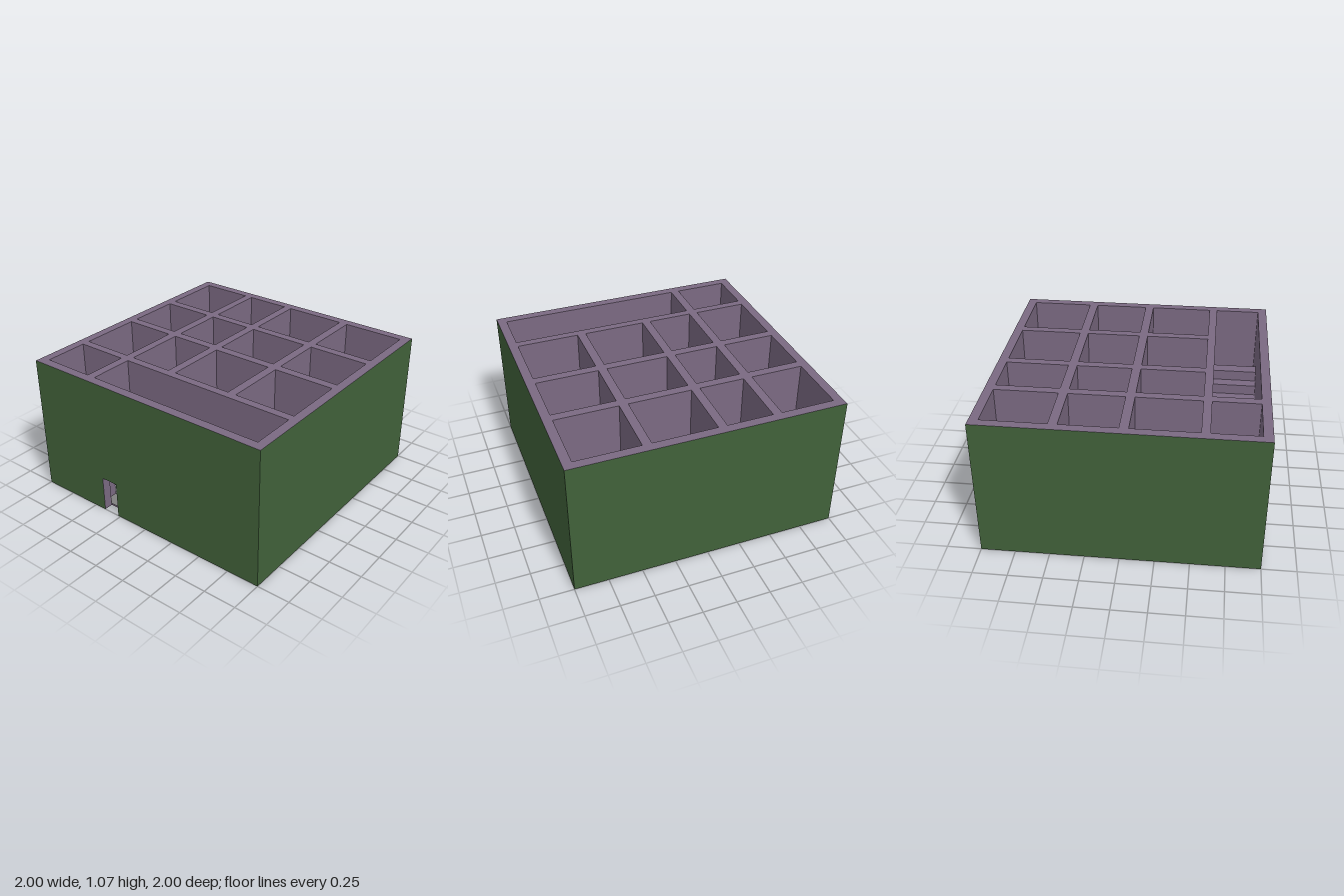
import * as THREE from 'three';

const H = 1.065, DOOR_H = 0.28, FLOOR_H = 0.015, INNER = 0.932, EDGE = 0.999, LOW = 0.001;

// Doors are [start, end] along the wall; floor cut is [from, to] across the wall
const alongZ = [ // walls running front to back: x range, z range
  { x: [-0.535, -0.47], z: [-INNER, INNER], doors: [
    [-0.78, -0.65, -0.565, -0.435], [-0.27, -0.14, -0.565, -0.435],
    [0.24, 0.37, -0.565, -0.435], [0.69, 0.82, -0.565, -0.47]] },
  { x: [-0.132, -0.068], z: [-INNER, 0.56], doors: [[-0.78, -0.65, -0.165, -0.035]] },
  { x: [0.4, 0.465], z: [-INNER, 0.56], doors: [
    [-0.78, -0.65, 0.365, 0.495], [-0.27, -0.14, 0.365, 0.5], [0.24, 0.37, 0.365, 0.495]] },
];
const alongX = [ // walls running side to side: z range
  { z: [-0.47, -0.405], doors: [
    [-0.8, -0.665, -0.505, -0.375], [-0.405, -0.27, -0.505, -0.375],
    [0.105, 0.24, -0.505, -0.375], [0.635, 0.765, -0.505, -0.375]] },
  { z: [0, 0.065], doors: [
    [-0.8, -0.665, -0.035, 0.1], [-0.405, -0.27, -0.035, 0.1],
    [0.07, 0.205, -0.035, 0.095], [0.62, 0.755, -0.035, 0.1]] },
  { z: [0.535, 0.595], doors: [
    [-0.8, -0.665, 0.49, 0.625], [-0.405, -0.27, 0.49, 0.595], [0.75, 0.885, 0.535, 0.625]] },
];
const frontDoor = [-0.405, -0.27];
const slot = [0.53, 0.6, 0.595, INNER]; // recess below the top of the stairs

const polygon = (pts) => new THREE.Shape(pts.map(([x, y]) => new THREE.Vector2(x, y)));

// Wall elevation with door notches cut up from the base
function elevation(a, b, doors, base) {
  const pts = [[a, base]];
  for (const [s, e] of doors) pts.push([s, base], [s, DOOR_H], [e, DOOR_H], [e, base]);
  pts.push([b, base], [b, H], [a, H]);
  return polygon(pts);
}

// Floor plan with a notch at the front door and a hole at each inner doorway
function floorPlan(r, sign) {
  const [a, b] = frontDoor;
  const shape = polygon([[-r, -r], [r, -r], [r, r], [b, r], [b, INNER], [a, INNER], [a, r], [-r, r]]
    .map(([x, z]) => [x, sign * z]));
  const cuts = [slot];
  for (const w of alongZ) for (const [s, e, f, t] of w.doors) cuts.push([f, t, s, e]);
  for (const w of alongX) for (const [s, e, f, t] of w.doors) cuts.push([s, e, f, t]);
  for (const [x0, x1, z0, z1] of cuts) {
    shape.holes.push(polygon([[x0, sign * z0], [x0, sign * z1], [x1, sign * z1], [x1, sign * z0]]));
  }
  return shape;
}

export function createModel() {
  const model = new THREE.Group();
  model.name = 'roofless building';
  const green = new THREE.MeshStandardMaterial({ color: 0x41613a });
  const purple = new THREE.MeshStandardMaterial({ color: 0x7b6a82 });
  const grey = new THREE.MeshStandardMaterial({ color: 0x808080 });
  green.name = 'facade green';
  purple.name = 'wall purple';
  grey.name = 'floor grey';

  const add = (name, geometry, material) => {
    const mesh = new THREE.Mesh(geometry, material);
    mesh.name = name;
    model.add(mesh);
  };
  const extrude = (shape, depth) => new THREE.ExtrudeGeometry(shape, { depth, bevelEnabled: false });
  const wallX = (name, x0, x1, z, doors) =>
    add(name, extrude(elevation(x0, x1, doors, LOW), z[1] - z[0]).translate(0, 0, z[0]), purple);
  const wallZ = (name, z0, z1, x, doors) =>
    add(name, extrude(elevation(z0, z1, doors, LOW), x[1] - x[0])
      .rotateY(-Math.PI / 2).translate(x[1], 0, 0), purple);

  // Outer walls
  wallX('frontWall', -EDGE, EDGE, [INNER, EDGE], [frontDoor]);
  wallX('backWall', -EDGE, EDGE, [-EDGE, -INNER], []);
  wallZ('leftWall', -INNER, INNER, [INNER, EDGE], []);
  wallZ('rightWall', -INNER, INNER, [-EDGE, -INNER], []);

  // Room partitions
  alongZ.forEach((w, i) => wallZ(`lengthPartition${i + 1}`, w.z[0], w.z[1], w.x, w.doors));
  alongX.forEach((w, i) => wallX(`crossPartition${i + 1}`, -INNER, INNER, w.z, w.doors));

  // Floor slab: grey faces, purple cut edges
  add('floor', extrude(floorPlan(EDGE, -1), FLOOR_H - LOW)
    .rotateX(-Math.PI / 2).translate(0, LOW, 0), [grey, purple]);

  // Green skin on the underside and the four facades
  add('underside', new THREE.ShapeGeometry(floorPlan(1, 1)).rotateX(Math.PI / 2), green);
  ['frontFacade', 'leftFacade', 'backFacade', 'rightFacade'].forEach((name, i) => {
    const face = elevation(-1, 1, i === 0 ? [frontDoor] : [], 0);
    add(name, new THREE.ShapeGeometry(face).translate(0, 0, 1).rotateY(i * Math.PI / 2), green);
  });

  // Stairs rising towards the left, with a shallow recess underneath
  const treads = [-0.17, -0.1, -0.015, 0.07, 0.16, 0.245, 0.335, 0.42, 0.505, 0.6];
  const rise = 0.08;
  const profile = [[treads[0], FLOOR_H]];
  for (let i = 0; i < treads.length - 1; i++) {
    const y = FLOOR_H + rise * (i + 1);
    profile.push([treads[i], y], [treads[i + 1], y]);
  }
  profile.push([slot[1], 0.03], [slot[0], 0.03], [slot[0], FLOOR_H]);
  add('stairs', extrude(polygon(profile), INNER - 0.595).translate(0, 0, 0.595), purple);

  return model;
}
